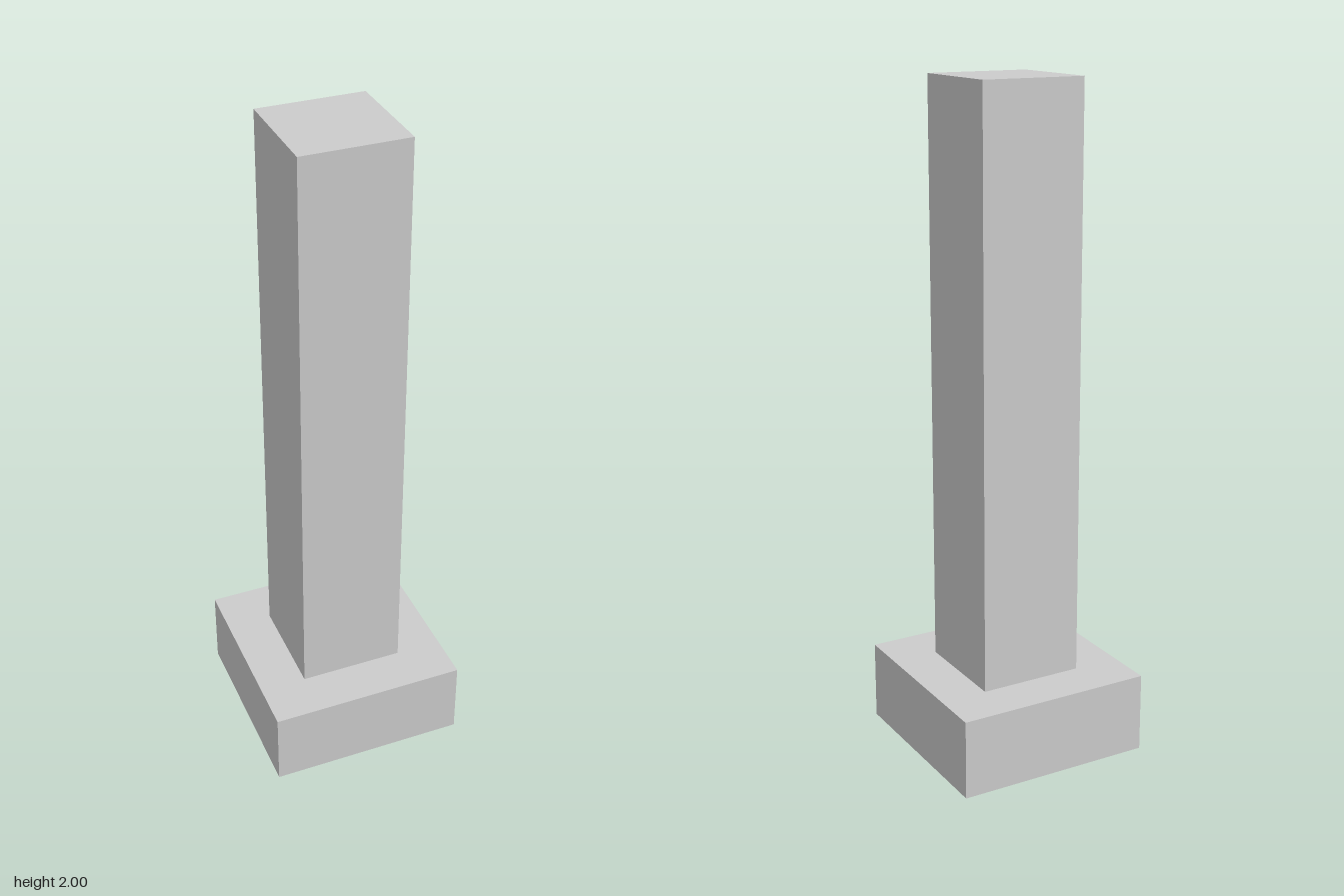
import * as THREE from 'three';

const material = new THREE.MeshStandardMaterial({ color: 0xcccccc, flatShading: true });

// Square block standing on the given height
function block(name, width, bottom, top) {
  const height = top - bottom;
  const mesh = new THREE.Mesh(new THREE.BoxGeometry(width, height, width), material);
  mesh.position.y = bottom + height / 2;
  mesh.name = name;
  return mesh;
}

export function createModel() {
  const model = new THREE.Group();
  model.name = 'pillar';
  const baseTop = 0.24;

  // Wide footing and the square column on it
  model.add(block('base', 0.6, 0, baseTop));
  model.add(block('column', 0.317, baseTop, 2));
  return model;
}
